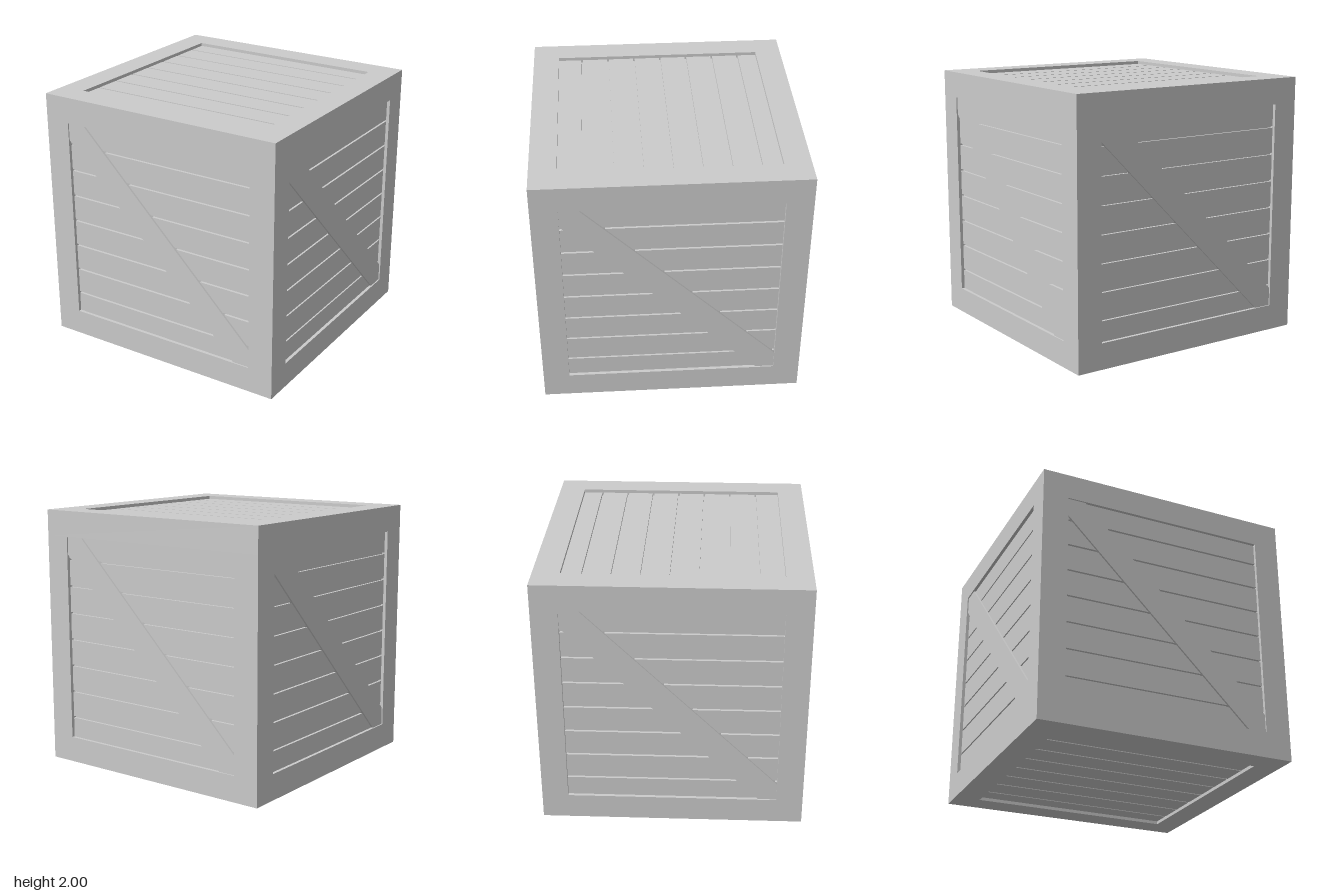
import * as THREE from 'three';

const HALF = 1;          // half the crate size
const INNER = 0.8;       // half the framed opening
const PLANK_OUT = 0.975; // outer plane of the planks
const CORE_OUT = 0.955;  // bottom of the gaps between planks
const BRACE_OUT = 0.99;  // outer plane of the diagonal brace
const GAP = 0.014;
const PITCH = 0.2105;

const material = new THREE.MeshStandardMaterial({ color: 0xcccccc, flatShading: true });

function box(name, w, h, d, x, y, z) {
  const mesh = new THREE.Mesh(new THREE.BoxGeometry(w, h, d), material);
  mesh.name = name;
  mesh.position.set(x, y, z);
  return mesh;
}

// Twelve beams along the edges, butted at the corners
function createFrame() {
  const frame = new THREE.Group();
  frame.name = 'frame';
  const b = HALF - INNER, c = (HALF + INNER) / 2;
  for (const s of [-1, 1]) {
    for (const t of [-1, 1]) {
      frame.add(box('cornerPost', b, 2 * INNER, b, s * c, 0, t * c));
      frame.add(box('crossRail', 2 * HALF, b, b, 0, s * c, t * c));
      frame.add(box('sideRail', b, b, 2 * INNER, s * c, t * c, 0));
    }
  }
  return frame;
}

// Diagonal board clipped to the square opening
function createBrace() {
  const a = INNER, k = 0.66;
  const shape = new THREE.Shape(
    [[-a, a], [-a, k], [k, -a], [a, -a], [a, -k], [-k, a]].map(([x, y]) => new THREE.Vector2(x, y))
  );
  const geometry = new THREE.ExtrudeGeometry(shape, { depth: BRACE_OUT - CORE_OUT, bevelEnabled: false });
  const brace = new THREE.Mesh(geometry, material);
  brace.name = 'diagonalBrace';
  brace.position.z = CORE_OUT;
  return brace;
}

// One face looking along +z: eight planks with narrow gaps, optional brace
function createPanel(name, firstGap, braced) {
  const panel = new THREE.Group();
  panel.name = name;
  const depth = PLANK_OUT - CORE_OUT + 0.02;
  let top = INNER;
  for (let i = 0; i < 8; i++) {
    const gap = firstGap - i * PITCH;
    const bottom = i < 7 ? gap + GAP / 2 : -INNER;
    panel.add(box('plank', 2 * INNER, top - bottom, depth, 0, (top + bottom) / 2, PLANK_OUT - depth / 2));
    top = gap - GAP / 2;
  }
  if (braced) panel.add(createBrace());
  return panel;
}

export function createModel() {
  const crate = new THREE.Group();
  crate.name = 'crate';
  crate.position.y = HALF;

  crate.add(createFrame());
  crate.add(box('core', 2 * CORE_OUT, 2 * CORE_OUT, 2 * CORE_OUT, 0, 0, 0));

  // Four braced sides turned about the vertical axis
  ['frontPanel', 'leftPanel', 'backPanel', 'rightPanel'].forEach((name, i) => {
    const side = createPanel(name, 0.625, true);
    side.rotation.y = i * Math.PI / 2;
    crate.add(side);
  });

  // Lid and floor without braces
  const lid = createPanel('topPanel', 0.648, false);
  lid.rotation.x = -Math.PI / 2;
  const floor = createPanel('bottomPanel', 0.615, false);
  floor.rotation.x = Math.PI / 2;
  crate.add(lid, floor);

  const model = new THREE.Group();
  model.name = 'woodenCrate';
  model.add(crate);
  return model;
}
